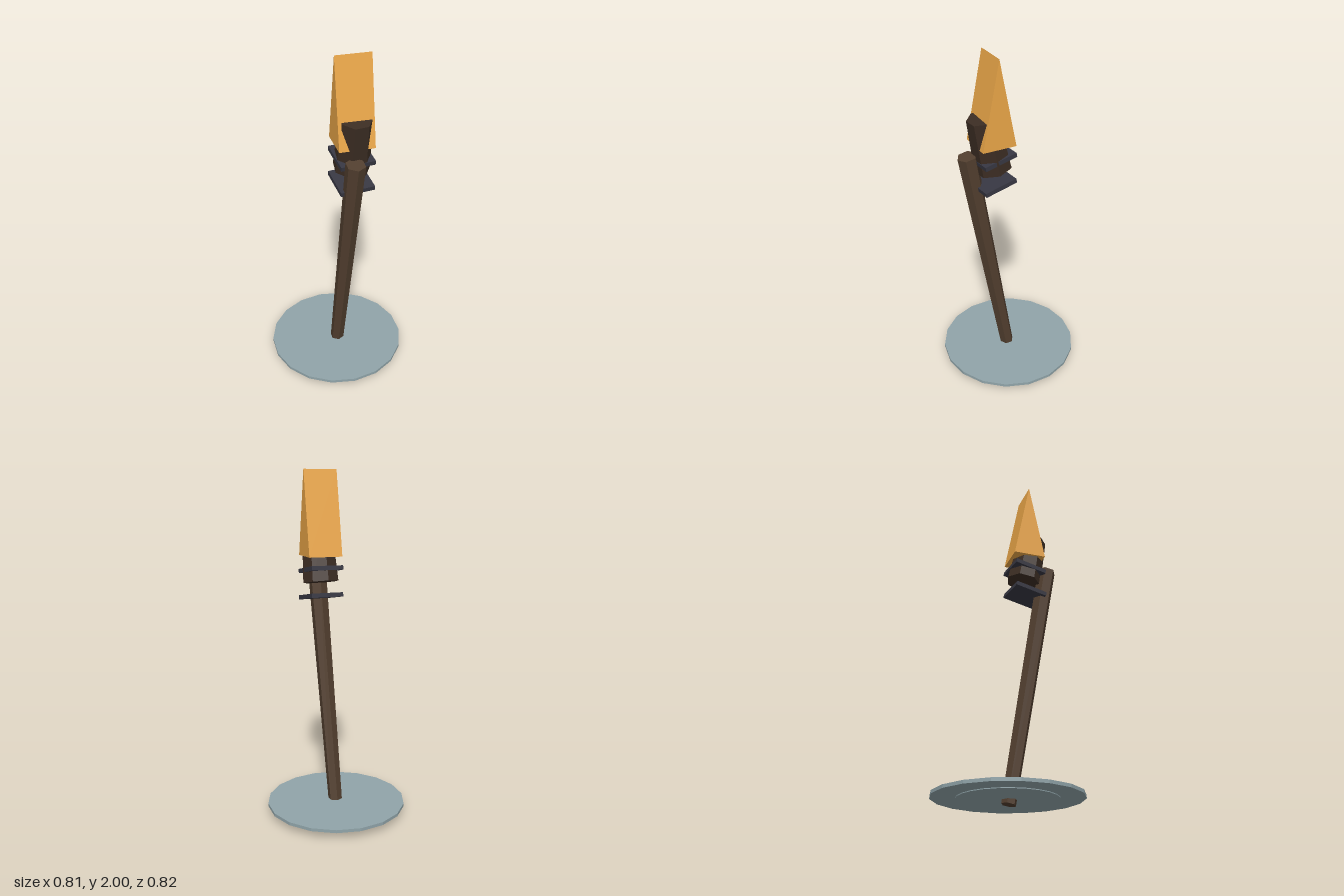
import * as THREE from 'three';

const V = (x, y, z) => new THREE.Vector3(x, y, z);

export function createModel() {
  const model = new THREE.Group();

  const add = (name, geometry, color) => {
    const material = new THREE.MeshStandardMaterial({ color, flatShading: true });
    const mesh = new THREE.Mesh(geometry, material);
    mesh.name = name;
    model.add(mesh);
    return mesh;
  };

  // Tapered prism running from point a to point b
  const post = (name, a, b, rBottom, rTop, sides, start, color) => {
    const axis = b.clone().sub(a);
    const geometry = new THREE.CylinderGeometry(rTop, rBottom, axis.length(), sides, 1, false, start);
    const mesh = add(name, geometry, color);
    mesh.position.copy(a).add(b).multiplyScalar(0.5);
    mesh.quaternion.setFromUnitVectors(V(0, 1, 0), axis.normalize());
    return mesh;
  };

  // Flat ground disc with a shallow step underneath
  add('baseDisc', new THREE.CylinderGeometry(0.41, 0.41, 0.018, 18), 0x90a4a9)
    .position.y = 0.048;
  add('baseUnderside', new THREE.CylinderGeometry(0.275, 0.275, 0.005, 24), 0x90a4a9)
    .position.y = 0.037;

  // Leaning six-sided pole
  post('pole', V(0, 0.008, 0.004), V(0.028, 1.455, 0.261), 0.041, 0.055, 6, 0, 0x523f2f);

  // Seven-sided wooden head
  post('head', V(0.05, 1.365, 0.117), V(0.053, 1.67, 0.176), 0.104, 0.088, 7, 0.565, 0x3c2d23);

  // Two tilted metal plates around and below the head
  [['upperPlate', 1.437], ['lowerPlate', 1.282]].forEach(([name, y]) => {
    const plate = add(name, new THREE.BoxGeometry(0.196, 0.025, 0.196), 0x373742);
    plate.position.set(0.048, y, 0.125);
    plate.rotation.set(0.18, 0.093, 0);
  });

  // Wedge-shaped flame with its ridge along x
  const profile = new THREE.Shape([
    new THREE.Vector2(-0.097, 1.515),
    new THREE.Vector2(0.097, 1.515),
    new THREE.Vector2(0, 2),
  ]);
  const wedge = new THREE.ExtrudeGeometry(profile, { depth: 0.197, bevelEnabled: false });
  wedge.translate(0, 0, -0.0985).rotateY(Math.PI / 2);
  add('flame', wedge, 0xeaa648).position.set(0.049, 0, 0.126);

  return model;
}
